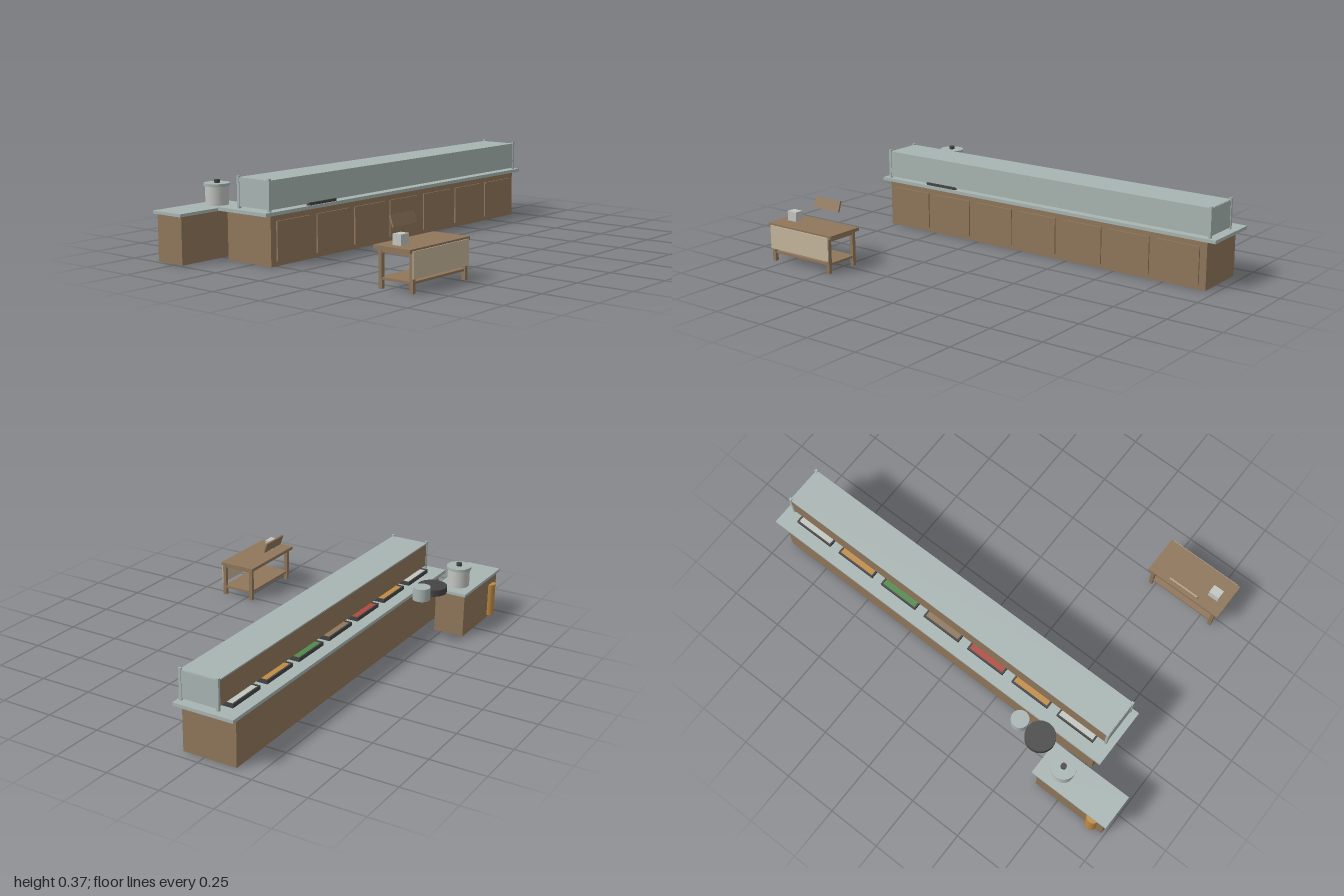
import * as THREE from 'three';

const mat = (name, color) => new THREE.MeshStandardMaterial({ name, color });

export function createModel() {
  const root = new THREE.Group();
  root.name = 'kitchenCounterSet';
  const wood = mat('wood', 0x8f765b);
  const steel = mat('steel', 0xa8b5b2);
  const light = mat('lightMetal', 0xc2c5c0);
  const dark = mat('darkIron', 0x444444);
  const cream = mat('creamCloth', 0xc4b59b);
  const amber = mat('amber', 0xc08a42);
  const red = mat('red', 0xb0483c);
  const green = mat('green', 0x4f8a48);

  const group = (name) => {
    const g = new THREE.Group();
    g.name = name;
    root.add(g);
    return g;
  };
  // box given by its minimum and maximum on each axis
  const box = (parent, name, m, x0, x1, y0, y1, z0, z1) => {
    const mesh = new THREE.Mesh(new THREE.BoxGeometry(x1 - x0, y1 - y0, z1 - z0), m);
    mesh.position.set((x0 + x1) / 2, (y0 + y1) / 2, (z0 + z1) / 2);
    mesh.name = name;
    parent.add(mesh);
    return mesh;
  };
  const cylinder = (parent, name, m, r, x, y0, y1, z) => {
    const mesh = new THREE.Mesh(new THREE.CylinderGeometry(r, r, y1 - y0, 28), m);
    mesh.position.set(x, (y0 + y1) / 2, z);
    mesh.name = name;
    parent.add(mesh);
    return mesh;
  };

  // Long counter with seven door panels
  const counter = group('counter');
  box(counter, 'counterBody', wood, -0.78, 0.955, 0, 0.216, -0.403, -0.15);
  box(counter, 'counterTop', steel, -0.82, 1, 0.216, 0.231, -0.42, -0.137);
  for (let i = 0; i < 7; i++) {
    const x = -0.645 + i * 0.244;
    box(counter, 'doorPanel', wood, x - 0.103, x + 0.103, 0.02, 0.19, -0.151, -0.143);
  }

  // Display guard: corner posts, front, top and end panes, wooden back
  const guard = group('displayGuard');
  for (const x of [-0.79, 0.958])
    for (const z of [-0.334, -0.159])
      box(guard, 'guardPost', steel, x, x + 0.012, 0.231, 0.369, z, z + 0.012);
  box(guard, 'frontPane', steel, -0.778, 0.958, 0.239, 0.36, -0.156, -0.15);
  box(guard, 'topPane', steel, -0.783, 0.964, 0.356, 0.362, -0.332, -0.15);
  for (const x of [-0.787, 0.961])
    box(guard, 'endPane', steel, x, x + 0.006, 0.24, 0.36, -0.322, -0.159);
  box(guard, 'backBoard', wood, -0.778, 0.958, 0.249, 0.356, -0.332, -0.326);

  // Ingredient trays under the guard
  const trays = group('ingredientTrays');
  [light, amber, red, wood, green, amber, light].forEach((fill, i) => {
    const x = -0.643 + i * 0.244;
    box(trays, 'trayBase', dark, x - 0.097, x + 0.097, 0.231, 0.236, -0.364, -0.2);
    for (const z of [-0.364, -0.207])
      box(trays, 'trayRim', dark, x - 0.097, x + 0.097, 0.236, 0.248, z, z + 0.007);
    for (const s of [-1, 1])
      box(trays, 'traySide', dark, x + s * 0.0935 - 0.0035, x + s * 0.0935 + 0.0035, 0.236, 0.248, -0.357, -0.207);
    box(trays, 'trayFood', fill, x - 0.09, x + 0.09, 0.236, 0.244, -0.357, -0.207);
  });
  box(root, 'servingTool', dark, -0.552, -0.382, 0.231, 0.243, -0.162, -0.143);

  // Side station with a bin at the back
  const station = group('sideStation');
  box(station, 'stationBody', wood, -0.985, -0.63, 0, 0.206, -0.61, -0.464);
  box(station, 'stationTop', steel, -1, -0.61, 0.206, 0.219, -0.621, -0.455);
  cylinder(station, 'amberRoll', amber, 0.028, -0.926, 0.01, 0.165, -0.604);

  // Cookware
  const cookware = group('cookware');
  cylinder(cookware, 'stockPot', light, 0.051, -0.712, 0.219, 0.3, -0.537);
  cylinder(cookware, 'potLid', steel, 0.057, -0.712, 0.3, 0.313, -0.537);
  cylinder(cookware, 'lidKnob', dark, 0.013, -0.712, 0.313, 0.327, -0.537);
  cylinder(cookware, 'fryingPan', dark, 0.068, -0.549, 0.229, 0.259, -0.482);
  cylinder(cookware, 'smallPot', steel, 0.04, -0.44, 0.229, 0.289, -0.482);

  // Small table with legs, rails, shelf and front cloth
  const table = group('table');
  box(table, 'tableTop', wood, -0.832, -0.456, 0.158, 0.173, 0.446, 0.628);
  for (const x of [-0.814, -0.486])
    for (const z of [0.457, 0.61])
      box(table, 'tableLeg', wood, x, x + 0.017, 0, 0.158, z, z + 0.017);
  for (const x of [-0.811, -0.483])
    box(table, 'sideRail', wood, x, x + 0.011, 0.143, 0.155, 0.474, 0.61);
  box(table, 'lowerShelf', wood, -0.811, -0.472, 0.036, 0.046, 0.462, 0.622);
  box(table, 'frontCloth', cream, -0.817, -0.469, 0.058, 0.165, 0.627, 0.633);
  box(table, 'cardBox', light, -0.79, -0.739, 0.173, 0.217, 0.508, 0.549);

  // Tilted board behind the table
  const board = box(root, 'tiltedBoard', wood, -0.718, -0.57, 0.222, 0.274, 0.438, 0.446);
  board.rotation.x = -0.33;

  return root;
}
